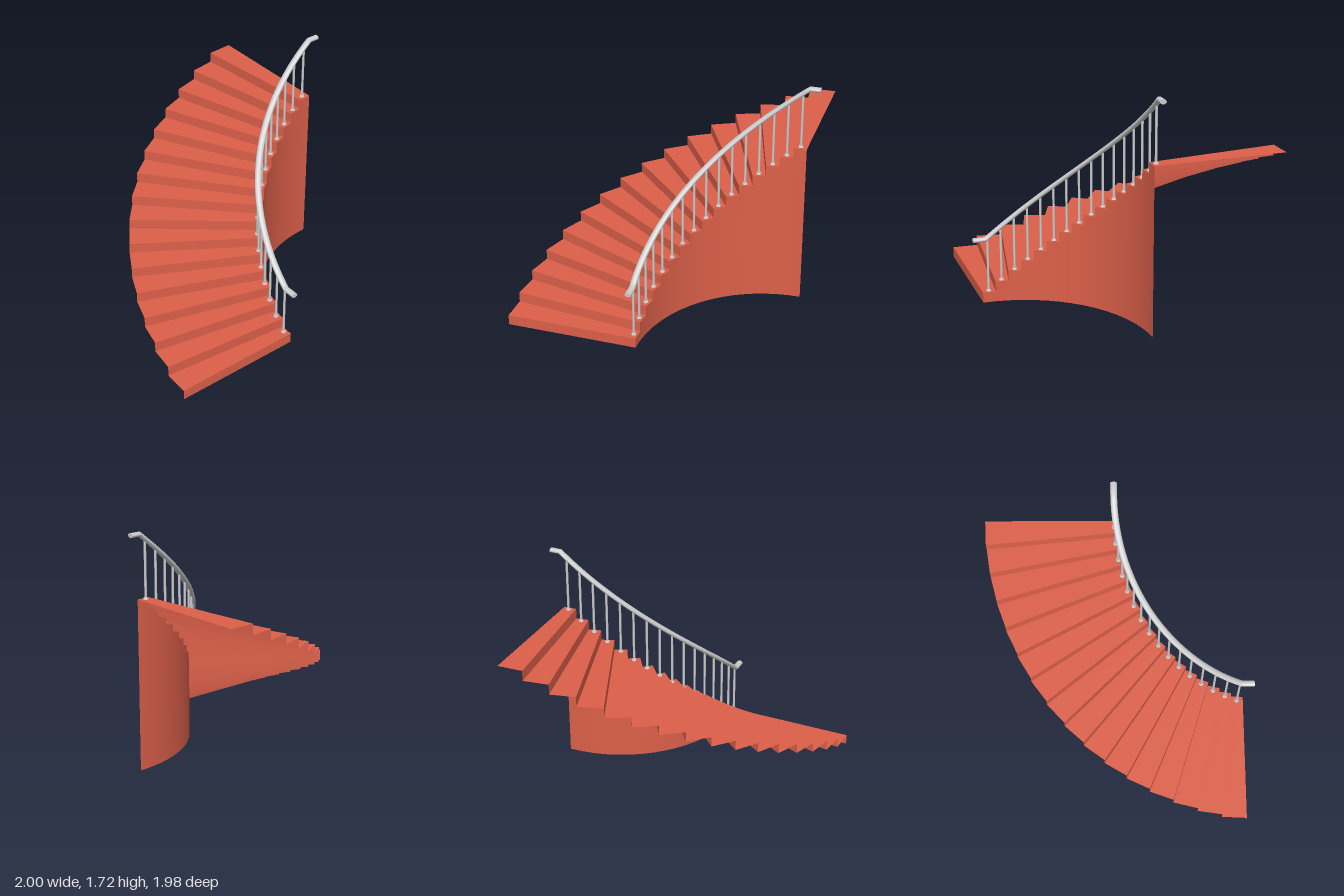
import * as THREE from 'three';

const STEPS = 16, RISE = 1.245 / STEPS, TURN = Math.PI / 2 / STEPS;
const CX = 0.926, CZ = 0.931;                 // centre of the quarter turn
const R_IN = 0.961, R_OUT = 1.924, R_RAIL = 0.99;
const RAIL_START = 0.036, RAIL_LOW = 0.48, RAIL_HIGH = 1.705;

const red = new THREE.MeshStandardMaterial({ color: 0xdd604a, side: THREE.DoubleSide });
const grey = new THREE.MeshStandardMaterial({ color: 0xcccccc });

// Point on the turn: angle 0 is the foot of the stair, 90 degrees the head
const at = (r, a, y) => new THREE.Vector3(CX - r * Math.cos(a), y, CZ - r * Math.sin(a));

const railY = a => RAIL_LOW + (RAIL_HIGH - RAIL_LOW) *
  Math.max(0, (a - RAIL_START) / (Math.PI / 2 - RAIL_START));

function quadGeometry(quads) {
  const pts = quads.flatMap(([a, b, c, d]) => [a, b, c, a, c, d]);
  const g = new THREE.BufferGeometry().setFromPoints(pts);
  g.computeVertexNormals();
  return g;
}

function mesh(name, geometry, material) {
  const m = new THREE.Mesh(geometry, material);
  m.name = name;
  return m;
}

// Folded sheet of risers and wedge-shaped treads
function stairGeometry() {
  const quads = [];
  for (let i = 0; i < STEPS; i++) {
    const a = i * TURN, b = a + TURN, y0 = i * RISE, y1 = y0 + RISE;
    quads.push([at(R_OUT, a, y0), at(R_IN, a, y0), at(R_IN, a, y1), at(R_OUT, a, y1)]);
    quads.push([at(R_IN, a, y1), at(R_IN, b, y1), at(R_OUT, b, y1), at(R_OUT, a, y1)]);
  }
  return quadGeometry(quads);
}

// Curved inner wall with a stepped top, shaded smoothly
function wallGeometry() {
  const quads = [];
  for (let i = 0; i < STEPS; i++) {
    const a = i * TURN, b = a + TURN, y = (i + 1) * RISE;
    quads.push([at(R_IN, a, 0), at(R_IN, b, 0), at(R_IN, b, y), at(R_IN, a, y)]);
  }
  const g = quadGeometry(quads);
  const p = g.attributes.position, n = g.attributes.normal;
  for (let i = 0; i < p.count; i++) {
    n.setXYZ(i, (CX - p.getX(i)) / R_IN, 0, (CZ - p.getZ(i)) / R_IN);
  }
  return g;
}

// Oval section swept up the turn, with a level run at each end
function railGeometry() {
  const SIDES = 14, HALF_W = 0.024, HALF_H = 0.017, N = 48;
  const path = [{ p: new THREE.Vector3(CX - R_RAIL, RAIL_LOW, 0.989), a: 0 }];
  for (let i = 0; i <= N; i++) {
    const a = RAIL_START + (Math.PI / 2 - RAIL_START) * i / N;
    path.push({ p: at(R_RAIL, a, railY(a)), a });
  }
  path.push({ p: new THREE.Vector3(1, RAIL_HIGH, CZ - R_RAIL), a: Math.PI / 2 });

  const pos = [], idx = [], last = path.length - 1;
  const rings = path.map(({ p, a }, i) => {
    const before = path[Math.max(0, i - 1)].p, after = path[Math.min(last, i + 1)].p;
    const t1 = p.clone().sub(before).normalize(), t2 = after.clone().sub(p).normalize();
    const t = t1.add(t2).normalize();
    const side = new THREE.Vector3(-Math.cos(a), 0, -Math.sin(a));
    const up = t.cross(side).normalize();
    return Array.from({ length: SIDES }, (_, j) => {
      const k = j / SIDES * Math.PI * 2;
      return p.clone().addScaledVector(side, HALF_W * Math.cos(k)).addScaledVector(up, HALF_H * Math.sin(k));
    });
  });
  rings.forEach((ring, i) => {
    ring.forEach((v, j) => {
      pos.push(v);
      if (i === last) return;
      const j2 = (j + 1) % SIDES, a = i * SIDES + j, b = i * SIDES + j2;
      idx.push(a, b, a + SIDES, b, b + SIDES, a + SIDES);
    });
  });
  // End caps on their own vertices so the edges stay sharp
  for (const [ring, flip] of [[rings[0], true], [rings[last], false]]) {
    const base = pos.length;
    pos.push(...ring.map(v => v.clone()));
    for (let j = 1; j < SIDES - 1; j++) {
      idx.push(base, base + (flip ? j + 1 : j), base + (flip ? j : j + 1));
    }
  }
  const g = new THREE.BufferGeometry().setFromPoints(pos);
  g.setIndex(idx);
  g.computeVertexNormals();
  return g;
}

export function createModel() {
  const model = new THREE.Group();
  model.name = 'curvedStaircase';
  model.add(mesh('steps', stairGeometry(), red));
  model.add(mesh('innerWall', wallGeometry(), red));
  model.add(mesh('handrail', railGeometry(), grey));

  // One baluster with a small foot in the middle of each step
  const foot = new THREE.CylinderGeometry(0.014, 0.019, 0.012, 12);
  for (let i = 0; i < STEPS; i++) {
    const a = (i + 0.5) * TURN, y = (i + 1) * RISE, height = railY(a) - y;
    const baluster = new THREE.Group();
    baluster.name = 'baluster';
    baluster.position.copy(at(R_RAIL, a, y));
    const post = mesh('post', new THREE.CylinderGeometry(0.009, 0.009, height, 12), grey);
    post.position.y = height / 2;
    const base = mesh('foot', foot, grey);
    base.position.y = 0.006;
    baluster.add(post, base);
    model.add(baluster);
  }
  return model;
}
